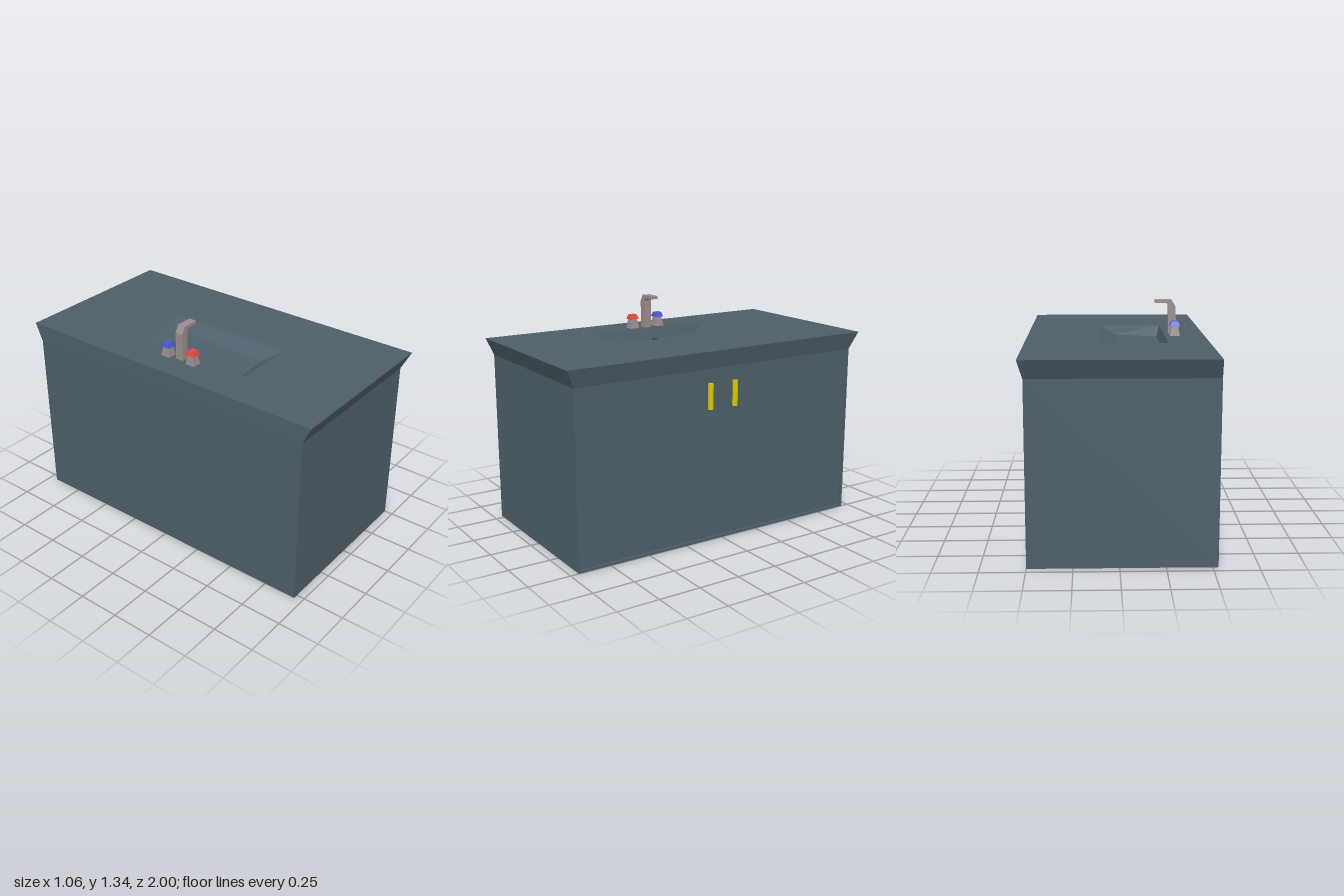
import * as THREE from 'three';

const mat = (color) => new THREE.MeshStandardMaterial({ color, flatShading: true });

// Rectangular ring: x range, z range, height at the low-x and high-x sides
const ring = (x0, x1, z0, z1, y0, y1 = y0) => [[x0, y0, z1], [x1, y1, z1], [x1, y1, z0], [x0, y0, z0]];

// Skins a stack of four-cornered rings and caps both ends
function loft(rings) {
  const pos = [];
  const tri = (...pts) => pts.forEach((p) => pos.push(...p));
  const quad = (a, b, c, d) => { tri(a, b, c); tri(a, c, d); };
  for (let k = 0; k < rings.length - 1; k++) {
    const a = rings[k], b = rings[k + 1];
    for (let i = 0; i < 4; i++) {
      const j = (i + 1) % 4;
      quad(a[i], a[j], b[j], b[i]);
    }
  }
  const first = rings[0], last = rings[rings.length - 1];
  quad(first[3], first[2], first[1], first[0]);
  quad(...last);
  const geo = new THREE.BufferGeometry();
  geo.setAttribute('position', new THREE.Float32BufferAttribute(pos, 3));
  geo.computeVertexNormals();
  return geo;
}

export function createModel() {
  const model = new THREE.Group();
  const slate = mat(0x4d5e68), metal = mat(0x9a8c8c), yellow = mat(0xd8c800);
  const add = (name, geo, material, x = 0, y = 0, z = 0) => {
    const mesh = new THREE.Mesh(geo, material);
    mesh.name = name;
    mesh.position.set(x, y, z);
    model.add(mesh);
    return mesh;
  };

  // Cabinet, lofted from its back to the thin frame and recessed door panel
  const cabinet = loft([
    ring(-1.03, 0, -0.95, 0.95, -0.53),
    ring(-1.03, 0, -0.95, 0.95, 0.5),
    ring(-1.015, -0.015, -0.935, 0.935, 0.5),
    ring(-1.015, -0.015, -0.935, 0.935, 0.487),
  ]);
  cabinet.rotateZ(-Math.PI / 2);
  add('cabinet', cabinet, slate);

  // Flared countertop with the sunken basin
  add('countertopAndBasin', loft([
    ring(-0.53, 0.5, -0.95, 0.95, 1.03),
    ring(-0.527, 0.527, -1, 1, 1.135),
    ring(-0.29, 0.09, -0.41, 0.41, 1.135),
    ring(-0.27, 0, -0.325, 0.325, 1.07, 1.085),
  ]), slate);

  // Drain
  add('drain', new THREE.CylinderGeometry(0.017, 0.017, 0.006, 12), mat(0x30383c), -0.235, 1.072, 0);

  // Faucet: bent square spout
  const spout = new THREE.Shape([
    [-0.36, 1.13], [-0.315, 1.13], [-0.315, 1.305], [-0.305, 1.322], [-0.235, 1.322],
    [-0.235, 1.34], [-0.335, 1.34], [-0.36, 1.3],
  ].map(([x, y]) => new THREE.Vector2(x, y)));
  add('faucet', new THREE.ExtrudeGeometry(spout, { depth: 0.048, bevelEnabled: false }), metal, 0, 0, -0.024);

  // Hot and cold taps
  for (const [name, z, color] of [['hot', 0.09, 0xe04a40], ['cold', -0.09, 0x4a55d8]]) {
    const square = (h, y) => ring(-h, h, -h, h, y);
    add(name + 'TapBase', loft([square(0.03, 0), square(0.02, 0.06)]), metal, -0.35, 1.132, z);
    add(name + 'TapCap', loft([square(0.029, 0), square(0.019, 0.028)]), mat(color), -0.35, 1.192, z);
  }

  // Door handles
  for (const [name, z] of [['leftHandle', 0.09], ['rightHandle', -0.08]]) {
    add(name, new THREE.CylinderGeometry(0.016, 0.016, 0.15, 8), yellow, 0.504, 0.87, z);
  }
  return model;
}
